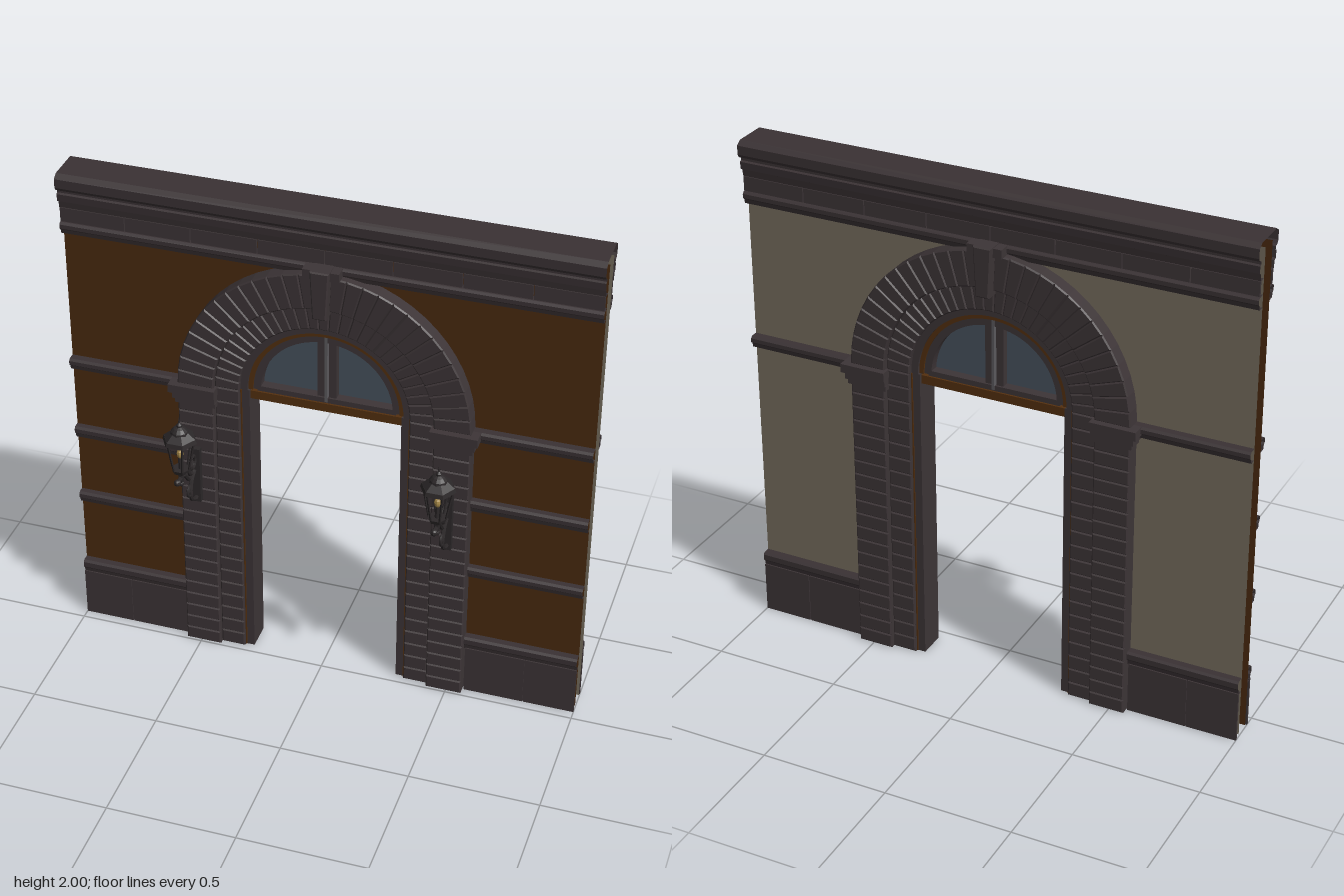
import * as THREE from 'three';

const mat = (name, color, open) => {
  const m = new THREE.MeshStandardMaterial({ color, flatShading: true });
  if (open) m.side = THREE.DoubleSide;
  m.name = name;
  return m;
};
const M = {
  stone: mat('dark stone', 0x3d3537),
  moulding: mat('stone moulding', 0x3a3234, true),
  brick: mat('brown wall', 0x4a2a10, true),
  plaster: mat('beige plaster', 0x766d5e, true),
  wood: mat('rust wood', 0x54300f),
  glass: mat('window glass', 0x47525e, true),
  bar: mat('grey bar', 0x5c5a5e),
  iron: mat('lamp iron', 0x2c2829),
  flame: mat('lamp flame', 0xa88a4a),
};
const ZC = -0.097;      // middle plane of the wall
const SPRING = 1.21;    // height where the arch begins

function add(parent, name, geo, material, x = 0, y = 0, z = 0) {
  const m = new THREE.Mesh(geo, material);
  m.name = name;
  m.position.set(x, y, z);
  parent.add(m);
  return m;
}
const box = (parent, name, w, h, d, x, y, z, m = M.stone) =>
  add(parent, name, new THREE.BoxGeometry(w, h, d), m, x, y, z);

// Open moulding: a (z, y) profile swept along x
function sweepX(profile, x0, x1) {
  const p = [];
  for (let i = 0; i < profile.length - 1; i++) {
    const [z0, y0] = profile[i], [z1, y1] = profile[i + 1];
    p.push(x0, y0, z0, x1, y0, z0, x1, y1, z1, x0, y0, z0, x1, y1, z1, x0, y1, z1);
  }
  const g = new THREE.BufferGeometry();
  g.setAttribute('position', new THREE.Float32BufferAttribute(p, 3));
  g.computeVertexNormals();
  return g;
}

// Stone block with chamfered front and back edges
function block(pts, half) {
  const b = 0.005;
  const g = new THREE.ExtrudeGeometry(new THREE.Shape(pts.map(p => new THREE.Vector2(...p))), {
    depth: 2 * (half - b), bevelThickness: b, bevelSize: b, bevelOffset: -b, bevelSegments: 1,
  });
  return g.translate(0, 0, ZC - half + b);
}

// Flat half ring standing on the spring line
function halfRing(r0, r1, depth) {
  const s = new THREE.Shape();
  s.absarc(0, 0, r1, 0, Math.PI, false);
  s.absarc(0, 0, r0, Math.PI, 0, true);
  return new THREE.ExtrudeGeometry(s, { depth, bevelEnabled: false, curveSegments: 28 })
    .translate(0, SPRING, ZC - depth / 2);
}

function buildWall(g) {
  const s = new THREE.Shape();
  s.moveTo(-1, 0.01); s.lineTo(-0.5, 0.01); s.lineTo(-0.5, SPRING);
  s.absarc(0, SPRING, 0.5, Math.PI, 0, true);
  s.lineTo(0.5, 0.01); s.lineTo(1, 0.01); s.lineTo(1, 1.97); s.lineTo(-1, 1.97);
  const geo = new THREE.ShapeGeometry(s, 24);
  add(g, 'frontWall', geo, M.brick, 0, 0, ZC + 0.032);
  add(g, 'backWall', geo, M.plaster, 0, 0, ZC - 0.032);
}

function buildMouldings(g) {
  const band = (y0, y1, out) => [
    [0.032, y0], [out - 0.012, y0], [out - 0.008, y0 + (y1 - y0) * 0.35], [out, y0 + (y1 - y0) * 0.5],
    [out, y1 - 0.008], [out - 0.008, y1], [0.032, y1]];
  for (const s of [1, -1]) {
    const place = p => p.map(([d, y]) => [ZC + s * d, y]);
    for (const side of [1, -1]) {
      const strip = (name, p) => add(g, name, sweepX(place(p), side * 0.55, side), M.moulding);
      strip('plinthMoulding', band(0.2, 0.26, 0.066));
      strip('stringCourse', band(1.165, 1.212, 0.068));
      if (s > 0) {
        strip('stringCourse', band(0.85, 0.9, 0.062));
        strip('stringCourse', band(0.545, 0.593, 0.062));
      }
      // Plinth slabs
      for (const [x0, x1] of [[0.565, 0.798], [0.802, 1]])
        box(g, 'plinthSlab', x1 - x0, 0.205, 0.01, side * (x0 + x1) / 2, 0.1025, ZC + s * 0.055);
    }
    // Frieze slabs
    for (let i = 0; i < 8; i++)
      box(g, 'friezeSlab', 0.246, 0.056, 0.01, -0.875 + i * 0.25, 1.829, ZC + s * 0.055);
    add(g, 'architrave', sweepX(place(band(1.75, 1.798, 0.068)), -1, 1), M.moulding);
    // Cornice, stepping out towards the top
    add(g, 'cornice', sweepX(place([[0.032, 1.858], [0.058, 1.858], [0.062, 1.885], [0.072, 1.89],
      [0.074, 1.918], [0.066, 1.922], [0.066, 1.934], [0.08, 1.938], [0.087, 1.95], [0.087, 1.985],
      [0.066, 2], [0, 2]]), -1, 1), M.moulding);
  }
  // Partitions inside the hollow ends
  for (const side of [1, -1]) {
    box(g, 'plinthPartition', 0.006, 0.2, 0.112, side * 0.8, 0.1, ZC);
    box(g, 'friezePartition', 0.006, 0.056, 0.112, side * 0.8, 1.83, ZC);
  }
}

function buildPortal(g) {
  const bands = [[0.42, 0.56, 0.09], [0.325, 0.42, 0.072]];
  const courses = 20, wedges = 29;
  for (const [r0, r1, half] of bands) {
    // Coursed piers
    const top = half > 0.08 ? 1.15 : SPRING, h = top / courses;
    for (const s of [1, -1])
      for (let i = 0; i < courses; i++) {
        const a = s > 0 ? r0 : -r1, b = s > 0 ? r1 : -r0;
        add(g, 'pierStone', block([[a, i * h], [b, i * h], [b, (i + 1) * h], [a, (i + 1) * h]], half), M.stone);
      }
    // Arch wedges
    for (let i = 0; i < wedges; i++) {
      const t0 = i * Math.PI / wedges, t1 = (i + 1) * Math.PI / wedges;
      const at = (r, t) => [r * Math.cos(t), SPRING + r * Math.sin(t)];
      add(g, 'archStone', block([at(r0, t0), at(r1, t0), at(r1, t1), at(r0, t1)], half), M.stone);
    }
  }
  // Capitals
  for (const s of [1, -1]) {
    box(g, 'capitalNeck', 0.158, 0.02, 0.195, s * 0.49, 1.14, ZC);
    box(g, 'capitalBody', 0.165, 0.03, 0.206, s * 0.495, 1.165, ZC);
    box(g, 'capitalTop', 0.18, 0.034, 0.226, s * 0.5, 1.195, ZC);
  }
  // Keystone
  add(g, 'keystone', block([[-0.026, 1.61], [0.026, 1.61], [0.036, 1.803], [-0.036, 1.803]], 0.126), M.stone);
  box(g, 'keystoneShoulder', 0.136, 0.035, 0.215, 0, 1.782, ZC);
}

function buildFanlight(g) {
  // Door frame
  for (const s of [1, -1]) {
    box(g, 'doorJamb', 0.035, SPRING, 0.11, s * 0.308, SPRING / 2, ZC);
    box(g, 'jambEdge', 0.006, SPRING, 0.118, s * 0.323, SPRING / 2, ZC, M.wood);
  }
  add(g, 'frameArch', halfRing(0.298, 0.328, 0.11), M.stone);
  add(g, 'woodArch', halfRing(0.28, 0.3, 0.09), M.wood);
  add(g, 'sashArch', halfRing(0.252, 0.282, 0.075), M.stone);
  box(g, 'transom', 0.58, 0.034, 0.09, 0, 1.187, ZC, M.wood);
  box(g, 'sashSill', 0.53, 0.022, 0.075, 0, 1.214, ZC);
  // Glass and its bars
  add(g, 'fanGlass', new THREE.CircleGeometry(0.255, 28, 0, Math.PI), M.glass, 0, SPRING, ZC);
  for (const s of [1, -1]) {
    box(g, 'sashStile', 0.028, 0.255, 0.06, s * 0.022, SPRING + 0.127, ZC);
  }
  box(g, 'centreBar', 0.01, 0.28, 0.085, 0, SPRING + 0.14, ZC, M.bar);
}

function buildLamp() {
  const g = new THREE.Group();
  g.name = 'wallLamp';
  const z = 0.165;
  const hex = (name, r1, r0, h, y, m = M.iron) =>
    add(g, name, new THREE.CylinderGeometry(r1, r0, h, 6).rotateY(Math.PI / 2), m, 0, y, z);
  // Lantern
  hex('lanternEave', 0.062, 0.067, 0.016, 1.088);
  hex('lanternRoof', 0.034, 0.062, 0.024, 1.107);
  add(g, 'lanternCap', new THREE.LatheGeometry([[0.034, 1.115], [0.032, 1.125], [0.022, 1.137], [0.01, 1.143],
    [0.011, 1.15], [0.004, 1.158], [0, 1.184]].map(p => new THREE.Vector2(...p)), 12), M.iron, 0, 0, z);
  hex('lanternFloor', 0.036, 0.03, 0.016, 0.95);
  hex('lanternStem', 0.014, 0.008, 0.06, 0.915);
  add(g, 'stemKnob', new THREE.SphereGeometry(0.012, 8, 6), M.iron, 0, 0.888, z);
  for (let i = 0; i < 6; i++) {
    const a = i * Math.PI / 3, c = Math.cos(a), s = Math.sin(a);
    add(g, 'lanternBar', new THREE.TubeGeometry(new THREE.LineCurve3(
      new THREE.Vector3(0.032 * c, 0.955, 0.032 * s), new THREE.Vector3(0.056 * c, 1.085, 0.056 * s)),
    1, 0.0045, 5), M.iron, 0, 0, z);
  }
  add(g, 'candle', new THREE.CylinderGeometry(0.008, 0.01, 0.05, 8), M.iron, 0, 0.98, z);
  add(g, 'flame', new THREE.SphereGeometry(0.014, 8, 6).scale(1, 1.4, 1), M.flame, 0, 1.022, z);
  // Scrolled bracket
  const tube = (name, pts, r) => add(g, name, new THREE.TubeGeometry(new THREE.CatmullRomCurve3(
    pts.map(([pz, py]) => new THREE.Vector3(0, py, pz))), 40, r, 6), M.iron);
  const spiral = (cz, cy, r0, r1, start, turns) => Array.from({ length: 15 }, (_, i) => {
    const t = i / 14, a = start + t * turns * 2 * Math.PI, r = r0 + (r1 - r0) * t;
    return [cz + r * Math.cos(a), cy + r * Math.sin(a)];
  });
  tube('bracketArm', [[0.2, 0.915], [0.165, 0.915], [0.135, 0.905], [0.112, 0.88], [0.085, 0.852],
    ...spiral(0.052, 0.9, 0.042, 0.01, -Math.PI / 2, 1.5)], 0.008);
  tube('bracketScroll', [[0.008, 0.72], [0.04, 0.728], [0.07, 0.752], [0.082, 0.785], [0.07, 0.815],
    [0.055, 0.84], [0.03, 0.855]], 0.008);
  tube('bracketCurl', spiral(0.083, 0.8, 0.026, 0.007, -Math.PI / 2, 1.3), 0.006);
  add(g, 'armKnob', new THREE.SphereGeometry(0.014, 8, 6), M.iron, 0, 0.915, 0.203);
  box(g, 'bracketPlate', 0.032, 0.24, 0.022, 0, 0.82, 0.004, M.iron);
  return g;
}

export function createModel() {
  const root = new THREE.Group();
  root.name = 'archedGateway';
  for (const [name, build] of [['wall', buildWall], ['mouldings', buildMouldings],
    ['portal', buildPortal], ['fanlight', buildFanlight]]) {
    const g = new THREE.Group();
    g.name = name;
    build(g);
    root.add(g);
  }
  for (const s of [1, -1]) {
    const lamp = buildLamp();
    lamp.position.x = s * 0.49;
    root.add(lamp);
  }
  return root;
}
